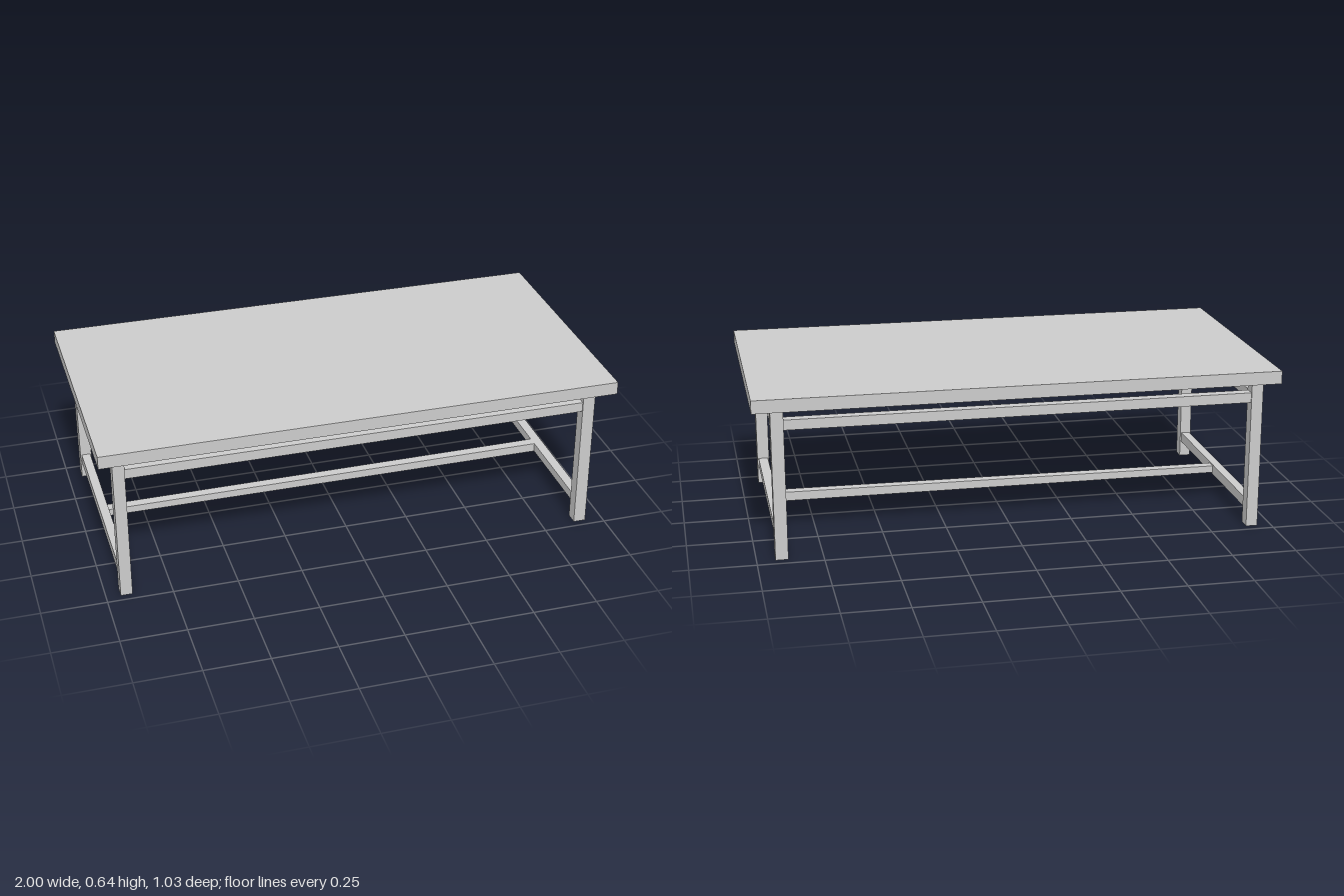
import * as THREE from 'three';

export function createModel() {
  const group = new THREE.Group();
  group.name = 'table';
  const material = new THREE.MeshStandardMaterial({ color: 0xcccccc, flatShading: true });

  // Box given by its extents along x, y and z
  const bar = (name, [x0, x1], [y0, y1], [z0, z1]) => {
    const mesh = new THREE.Mesh(new THREE.BoxGeometry(x1 - x0, y1 - y0, z1 - z0), material);
    mesh.position.set((x0 + x1) / 2, (y0 + y1) / 2, (z0 + z1) / 2);
    mesh.name = name;
    group.add(mesh);
    return mesh;
  };

  const topBottom = 0.586;
  bar('tableTop', [-1, 1], [topBottom, 0.636], [-0.513, 0.513]);

  // The frame sits slightly off centre under the top
  const ends = [
    { side: 'right', x: [-0.945, -0.9], low: [0.063, 0.103] },
    { side: 'left', x: [0.882, 0.93], low: [0.071, 0.106] },
  ];
  const rows = [
    { side: 'front', z: [0.422, 0.471] },
    { side: 'back', z: [-0.465, -0.415] },
  ];
  const upper = [0.502, 0.541];
  const inset = ([a, b]) => [a + 0.005, b - 0.005];

  // Legs
  for (const e of ends) {
    for (const r of rows) bar(`${r.side}${e.side}Leg`, e.x, [0, topBottom], r.z);
  }

  // End rails, upper and lower
  for (const e of ends) {
    bar(`${e.side}UpperRail`, inset(e.x), upper, [-0.415, 0.422]);
    bar(`${e.side}LowerRail`, inset(e.x), e.low, [-0.415, 0.422]);
  }

  // Long rails under the top
  for (const r of rows) bar(`${r.side}UpperRail`, [-0.9, 0.882], upper, inset(r.z));

  // Central stretcher, its top rising slightly toward one end
  const stretcher = bar('stretcher', [-0.907, 0.889], [0.07, 0.102], [-0.018, 0.022]);
  const p = stretcher.geometry.attributes.position;
  for (let i = 0; i < p.count; i++) {
    if (p.getY(i) > 0) p.setY(i, p.getY(i) + (p.getX(i) > 0 ? 0.004 : -0.004));
  }
  stretcher.geometry.computeVertexNormals();

  return group;
}
